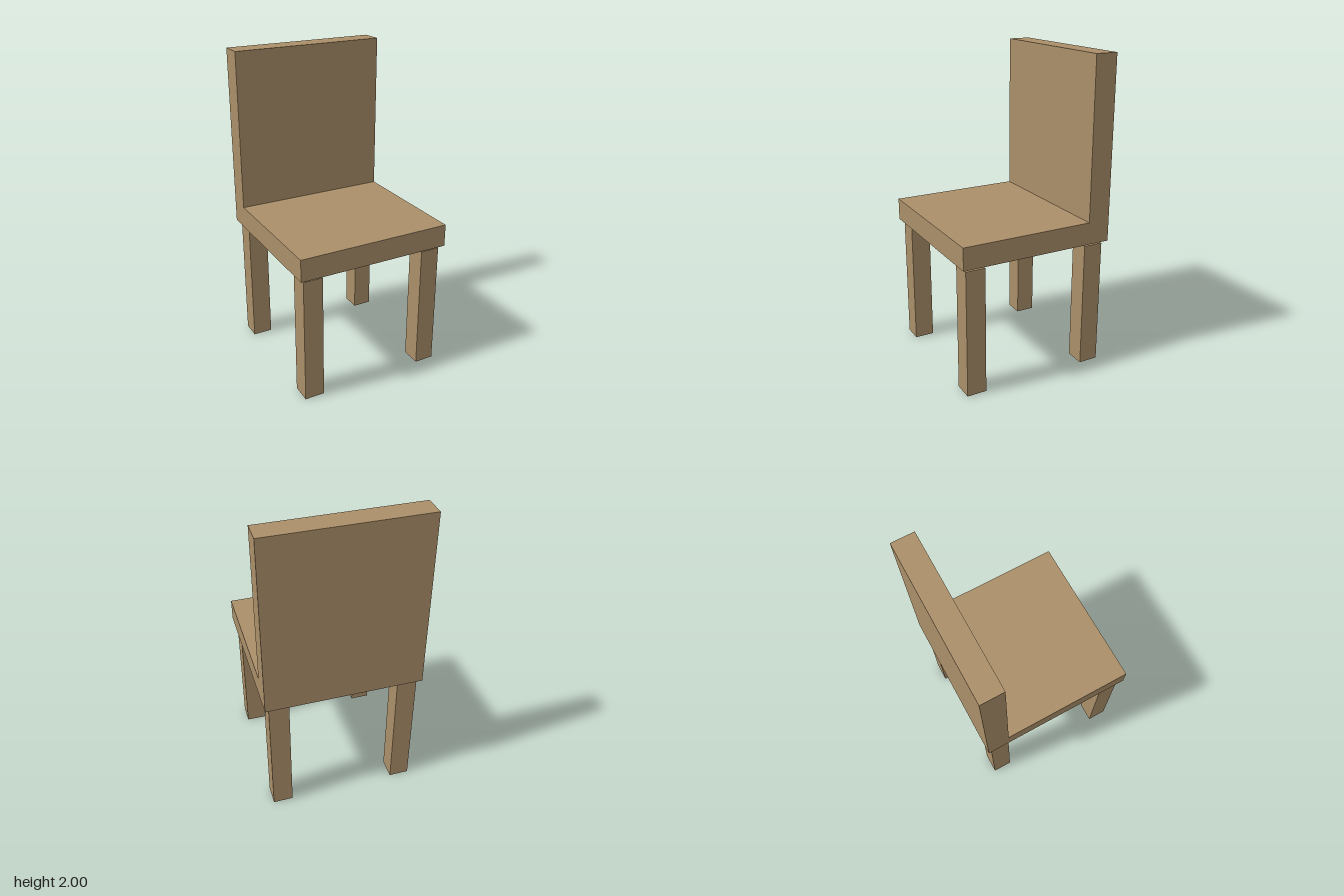
import * as THREE from 'three';

export function createModel() {
  const chair = new THREE.Group();
  chair.name = 'chair';
  const wood = new THREE.MeshStandardMaterial({ color: 0xab8f69 });

  // Seat and backrest: one L-shaped side profile (z, y) extruded across the width
  const width = 1;
  const profile = new THREE.Shape([
    [-0.5, 0.84], [0.5, 0.84], [0.5, 0.983], [-0.355, 0.983], [-0.355, 2], [-0.5, 2],
  ].map(([z, y]) => new THREE.Vector2(z, y)));
  const seatGeometry = new THREE.ExtrudeGeometry(profile, { depth: width, bevelEnabled: false });
  seatGeometry.rotateY(-Math.PI / 2).translate(width / 2, 0, 0);
  const seat = new THREE.Mesh(seatGeometry, wood);
  seat.name = 'seatAndBackrest';
  chair.add(seat);

  // Four square legs, stopping just short of the seat
  const legHeight = 0.82;
  const legGeometry = new THREE.BoxGeometry(0.127, legHeight, 0.127);
  for (const [end, sz] of [['front', 1], ['back', -1]]) {
    for (const [side, sx] of [['Left', 1], ['Right', -1]]) {
      const leg = new THREE.Mesh(legGeometry, wood);
      leg.name = `${end}${side}Leg`;
      leg.position.set(sx * 0.41, legHeight / 2, sz * 0.41);
      chair.add(leg);
    }
  }
  return chair;
}
